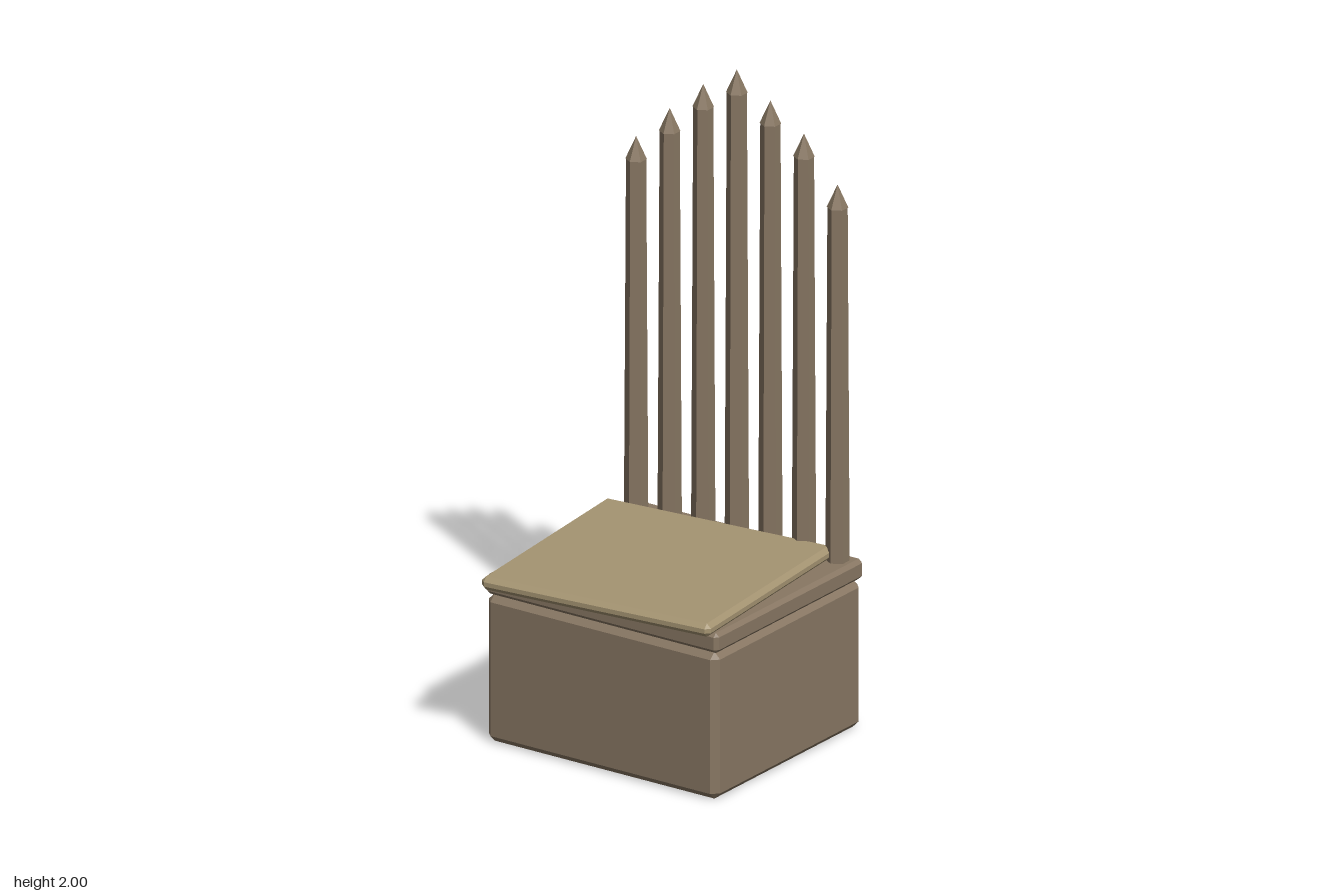
import * as THREE from 'three';
import { ConvexGeometry } from 'three/addons/geometries/ConvexGeometry.js';

// Box with every edge and corner cut by a flat chamfer c
function chamferBox(w, h, d, c) {
  const points = [];
  const half = [w / 2, h / 2, d / 2];
  for (const sx of [-1, 1]) for (const sy of [-1, 1]) for (const sz of [-1, 1]) {
    for (let axis = 0; axis < 3; axis++) {
      const p = half.map((v, k) => (k === axis ? v : v - c));
      points.push(new THREE.Vector3(p[0] * sx, p[1] * sy, p[2] * sz));
    }
  }
  return new ConvexGeometry(points);
}

export function createModel() {
  const model = new THREE.Group();
  model.name = 'spikedChair';

  const wood = new THREE.MeshStandardMaterial({ color: 0x887763 });
  wood.name = 'brown wood';
  const paleWood = new THREE.MeshStandardMaterial({ color: 0xa59472 });
  paleWood.name = 'pale seat wood';

  function add(parent, name, geometry, material, x, y, z) {
    const mesh = new THREE.Mesh(geometry, material);
    mesh.name = name;
    mesh.position.set(x, y, z);
    parent.add(mesh);
    return mesh;
  }

  // Block base and the rim on top of it
  add(model, 'base', chamferBox(0.836, 0.466, 0.745, 0.021), wood, 0, 0.233, -0.058);
  add(model, 'rim', chamferBox(0.84, 0.064, 0.748, 0.012), wood, 0, 0.498, -0.061);

  // Loose seat board, turned askew
  const seat = add(model, 'seat', chamferBox(0.778, 0.042, 0.742, 0.014), paleWood, 0, 0.553, 0.026);
  seat.rotation.y = 0.095;

  // Back made of tapered stakes with pointed tips
  const tops = [1.705, 1.822, 1.926, 2.0, 1.93, 1.853, 1.72];
  const bottom = 0.52, tipHeight = 0.072;
  tops.forEach((top, i) => {
    const stake = new THREE.Group();
    stake.name = `stake${i + 1}`;
    stake.position.set((i - 3) * 0.1213, 0, -0.378);
    const height = top - tipHeight - bottom;
    const shaft = new THREE.CylinderGeometry(0.03, 0.036, height, 6).toNonIndexed();
    shaft.computeVertexNormals();
    add(stake, 'shaft', shaft, wood, 0, bottom + height / 2, 0);
    const tip = new THREE.ConeGeometry(0.032, tipHeight, 6).toNonIndexed();
    tip.computeVertexNormals();
    add(stake, 'tip', tip, wood, 0, top - tipHeight / 2, 0);
    model.add(stake);
  });

  return model;
}
